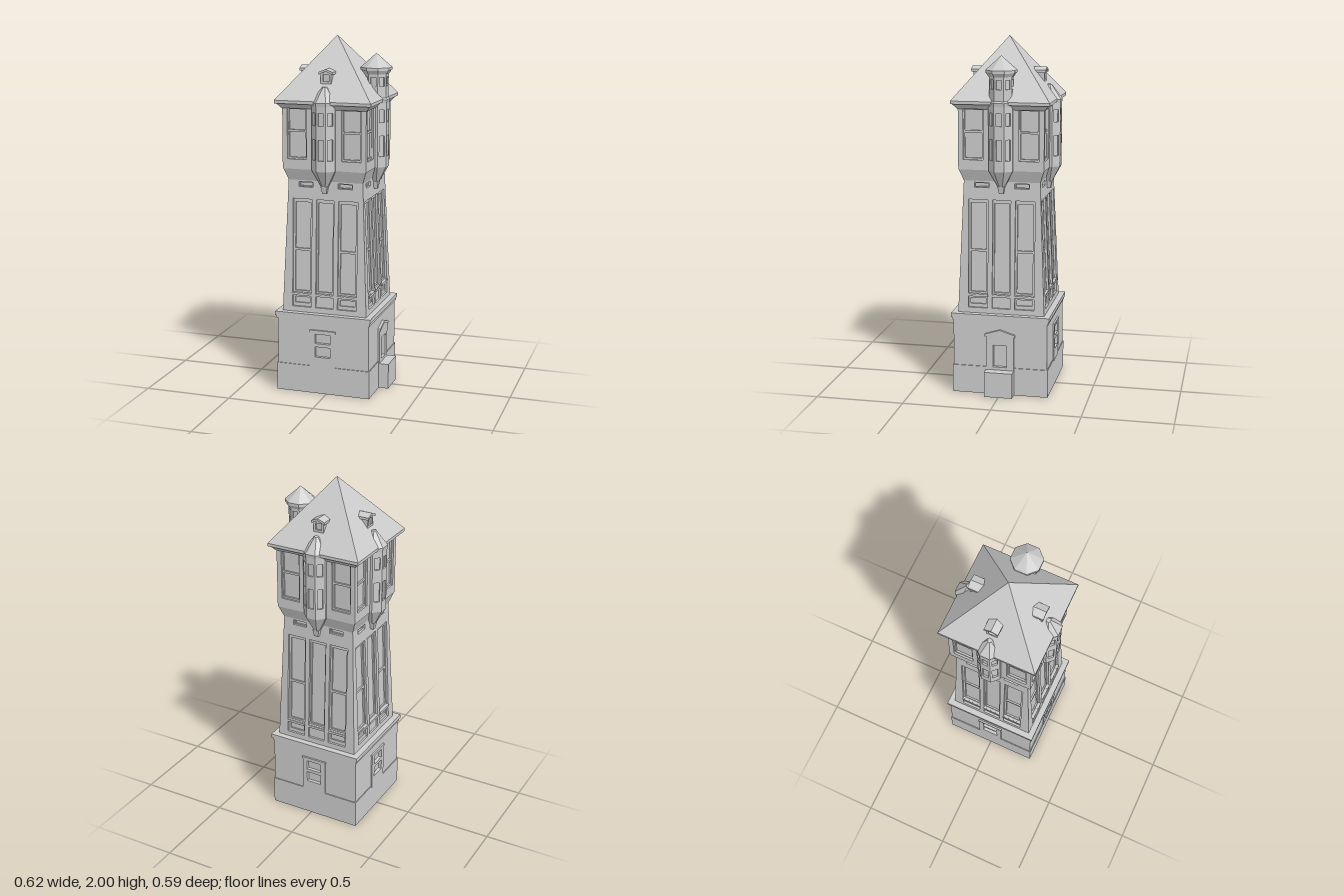
import * as THREE from 'three';

const stone = new THREE.MeshStandardMaterial({ color: 0xcccccc });
stone.name = 'pale stone';

function add(parent, geo, name) {
  const g = geo.index ? geo.toNonIndexed() : geo;
  g.computeVertexNormals();
  const m = new THREE.Mesh(g, stone);
  m.name = name;
  parent.add(m);
  return m;
}

function box(parent, name, x0, x1, y0, y1, z0, z1) {
  const g = new THREE.BoxGeometry(x1 - x0, y1 - y0, z1 - z0);
  g.translate((x0 + x1) / 2, (y0 + y1) / 2, (z0 + z1) / 2);
  return add(parent, g, name);
}

// Regular n-sided frustum with a flat side facing +z; d is centre-to-side distance
function frustum(parent, name, n, y0, d0, y1, d1) {
  const c = Math.cos(Math.PI / n);
  const g = new THREE.CylinderGeometry(d1 / c, d0 / c, y1 - y0, n, 1, false, Math.PI / n);
  g.translate(0, (y0 + y1) / 2, 0);
  return add(parent, g, name);
}

function outline(points, holes = []) {
  const s = new THREE.Shape(points.map(p => new THREE.Vector2(...p)));
  for (const [x0, x1, y0, y1] of holes) {
    s.holes.push(new THREE.Path([[x0, y0], [x0, y1], [x1, y1], [x1, y0]].map(p => new THREE.Vector2(...p))));
  }
  return s;
}

function plate(parent, name, points, holes, z0, z1) {
  const g = new THREE.ExtrudeGeometry(outline(points, holes), { depth: z1 - z0, bevelEnabled: false });
  g.translate(0, 0, z0);
  return add(parent, g, name);
}

// One mitred, leaning wall of an n-sided tower, pierced by rectangular holes [x0, x1, y0, y1]
function wall(parent, name, n, y0, d0, y1, d1, holes, depth, inset = 0) {
  const t = Math.tan(Math.PI / n);
  const g = new THREE.ExtrudeGeometry(
    outline([[-d0 * t, y0], [d0 * t, y0], [d1 * t, y1], [-d1 * t, y1]], holes),
    { depth, bevelEnabled: false });
  const p = g.attributes.position;
  for (let i = 0; i < p.count; i++) {
    const x = p.getX(i), y = p.getY(i);
    const d = d0 + (d1 - d0) * (y - y0) / (y1 - y0);
    const z = d - inset - depth + p.getZ(i);
    if (Math.abs(x) > d * t * 0.99) p.setX(i, Math.sign(x) * z * t);
    p.setZ(i, z);
  }
  return add(parent, g, name);
}

function turned(parent, name, angle, z = 0) {
  const g = new THREE.Group();
  g.name = name;
  g.rotation.y = angle;
  g.position.set(Math.sin(angle) * z, 0, Math.cos(angle) * z);
  parent.add(g);
  return g;
}

const mirrored = ([x0, x1, y0, y1]) => [[x0, x1, y0, y1], [-x1, -x0, y0, y1]];

// Octagonal oriel with tapering foot
function bay(side) {
  const b = turned(side, 'bay', 0, 0.225);
  frustum(b, 'bayCore', 8, 1.28, 0.058, 1.655, 0.058);
  for (let k = -2; k <= 2; k++) {
    const f = turned(b, 'bayFacet', k * Math.PI / 4);
    const holes = Math.abs(k) < 2 ? [[-0.016, 0.016, 1.34, 1.455], [-0.016, 0.016, 1.53, 1.6]] : [];
    wall(f, 'bayWall', 8, 1.28, 0.067, 1.655, 0.067, holes, 0.009);
  }
  frustum(b, 'bayFoot', 8, 1.19, 0.02, 1.28, 0.067);
  frustum(b, 'bayBracket', 4, 1.15, 0.012, 1.19, 0.019);
  frustum(b, 'bayEave', 8, 1.635, 0.067, 1.655, 0.07);
  frustum(b, 'bayRoof', 8, 1.655, 0.07, 1.735, 0.012);
  return b;
}

// Gabled roof window
function dormer(side) {
  const d = turned(side, 'dormer', 0);
  plate(d, 'dormerFront', [[-0.03, 1.74], [0.03, 1.74], [0.03, 1.805], [0, 1.82], [-0.03, 1.805]],
    [[-0.018, 0.018, 1.762, 1.8]], 0.192, 0.202);
  plate(d, 'dormerBody', [[-0.03, 1.74], [0.03, 1.74], [0.03, 1.805], [0, 1.82], [-0.03, 1.805]], [], 0.12, 0.192);
  plate(d, 'dormerRoof', [[-0.04, 1.8], [0, 1.818], [0.04, 1.8], [0.04, 1.814], [0, 1.83], [-0.04, 1.814]],
    [], 0.12, 0.211);
}

export function createModel() {
  const model = new THREE.Group();
  model.name = 'waterTower';
  const t = new THREE.Group();
  t.name = 'tower';
  t.position.x = -0.02;
  model.add(t);

  // Base, shaft and head cores behind the pierced walls
  frustum(t, 'plinth', 4, 0, 0.273, 0.16, 0.273);
  frustum(t, 'baseCore', 4, 0.16, 0.256, 0.43, 0.256);
  frustum(t, 'baseMoulding', 4, 0.425, 0.274, 0.442, 0.274);
  frustum(t, 'baseLedge', 4, 0.442, 0.28, 0.465, 0.28);
  frustum(t, 'shaftCore', 4, 0.46, 0.223, 1.215, 0.193);
  frustum(t, 'headFlare', 4, 1.215, 0.215, 1.285, 0.24);
  frustum(t, 'headCore', 4, 1.28, 0.218, 1.63, 0.218);
  frustum(t, 'cornice', 4, 1.615, 0.243, 1.645, 0.268);
  frustum(t, 'eave', 4, 1.643, 0.275, 1.66, 0.275);
  const roof = new THREE.ConeGeometry(0.275 * Math.SQRT2, 0.34, 4, 1, false, Math.PI / 4);
  roof.translate(0, 1.83, 0);
  add(t, roof, 'mainRoof');

  for (let k = 0; k < 4; k++) {
    const s = turned(t, 'side', k * Math.PI / 2);
    const hasDoor = k === 1;

    // Base wall with window or door
    const openings = hasDoor ? [[-0.038, 0.038, 0.162, 0.29]]
      : [[-0.045, 0.045, 0.215, 0.275], [-0.045, 0.045, 0.295, 0.35]];
    wall(s, 'baseWall', 4, 0.16, 0.268, 0.43, 0.268, openings, 0.012);
    if (hasDoor) {
      plate(s, 'doorSurround', [[-0.08, 0.14], [0.08, 0.14], [0.08, 0.352], [0, 0.375], [-0.08, 0.352]],
        openings, 0.266, 0.277);
      plate(s, 'doorGable', [[-0.086, 0.34], [0, 0.366], [0.086, 0.34], [0.086, 0.354], [0, 0.381], [-0.086, 0.354]],
        [], 0.266, 0.283);
      box(s, 'doorStep', -0.08, 0.08, 0, 0.145, 0.26, 0.33);
    } else {
      plate(s, 'windowSurround', [[-0.073, 0.15], [0.073, 0.15], [0.073, 0.365], [-0.073, 0.365]],
        openings, 0.266, 0.275);
      box(s, 'windowCap', -0.076, 0.076, 0.36, 0.373, 0.264, 0.278);
    }

    // Shaft wall: three tall panels, low panels and vents
    wall(s, 'shaftWall', 4, 0.46, 0.246, 1.215, 0.215, [
      ...mirrored([0.077, 0.188, 0.575, 1.11]), ...mirrored([0.077, 0.188, 0.495, 0.56]),
      ...mirrored([0.072, 0.155, 1.178, 1.206]),
      [-0.051, 0.051, 0.575, 1.11], [-0.051, 0.051, 0.495, 0.56],
    ], 0.012);
    wall(s, 'panelFrames', 4, 0.46, 0.246, 1.215, 0.215, [
      ...mirrored([0.088, 0.176, 0.585, 0.815]), ...mirrored([0.088, 0.176, 0.828, 1.09]),
      ...mirrored([0.088, 0.176, 0.515, 0.548]), ...mirrored([0.078, 0.15, 1.182, 1.2]),
      [-0.042, 0.042, 0.585, 1.09],
    ], 0.009, 0.012);
    for (const x of [-0.132, 0, 0.132]) {
      const w = x ? 0.057 : 0.052;
      box(s, 'panelSill', x - w, x + w, 0.56, 0.574, 0.225, 0.247);
    }

    // Head wall: tall windows with a crossbar
    wall(s, 'headWall', 4, 1.28, 0.24, 1.63, 0.24, mirrored([0.1, 0.212, 1.335, 1.615]), 0.01);
    wall(s, 'headFrames', 4, 1.28, 0.24, 1.63, 0.24,
      [...mirrored([0.108, 0.204, 1.345, 1.485]), ...mirrored([0.108, 0.204, 1.497, 1.61])], 0.01, 0.01);

    const b = bay(s);
    if (!hasDoor) {
      dormer(s);
      continue;
    }
    // Stair turret rising through the roof above the door side
    frustum(b, 'turretCore', 8, 1.64, 0.055, 1.805, 0.055);
    for (let i = 0; i < 8; i++) {
      const f = turned(b, 'turretFacet', i * Math.PI / 4);
      wall(f, 'turretWall', 8, 1.655, 0.063, 1.805, 0.063, [[-0.015, 0.015, 1.728, 1.778]], 0.008);
    }
    frustum(b, 'turretCornice', 8, 1.795, 0.066, 1.815, 0.078);
    frustum(b, 'turretEave', 8, 1.815, 0.081, 1.83, 0.081);
    const cap = new THREE.ConeGeometry(0.081 / Math.cos(Math.PI / 8), 0.077, 8, 1, false, Math.PI / 8);
    cap.translate(0, 1.8685, 0);
    add(b, cap, 'turretRoof');
  }
  return model;
}
